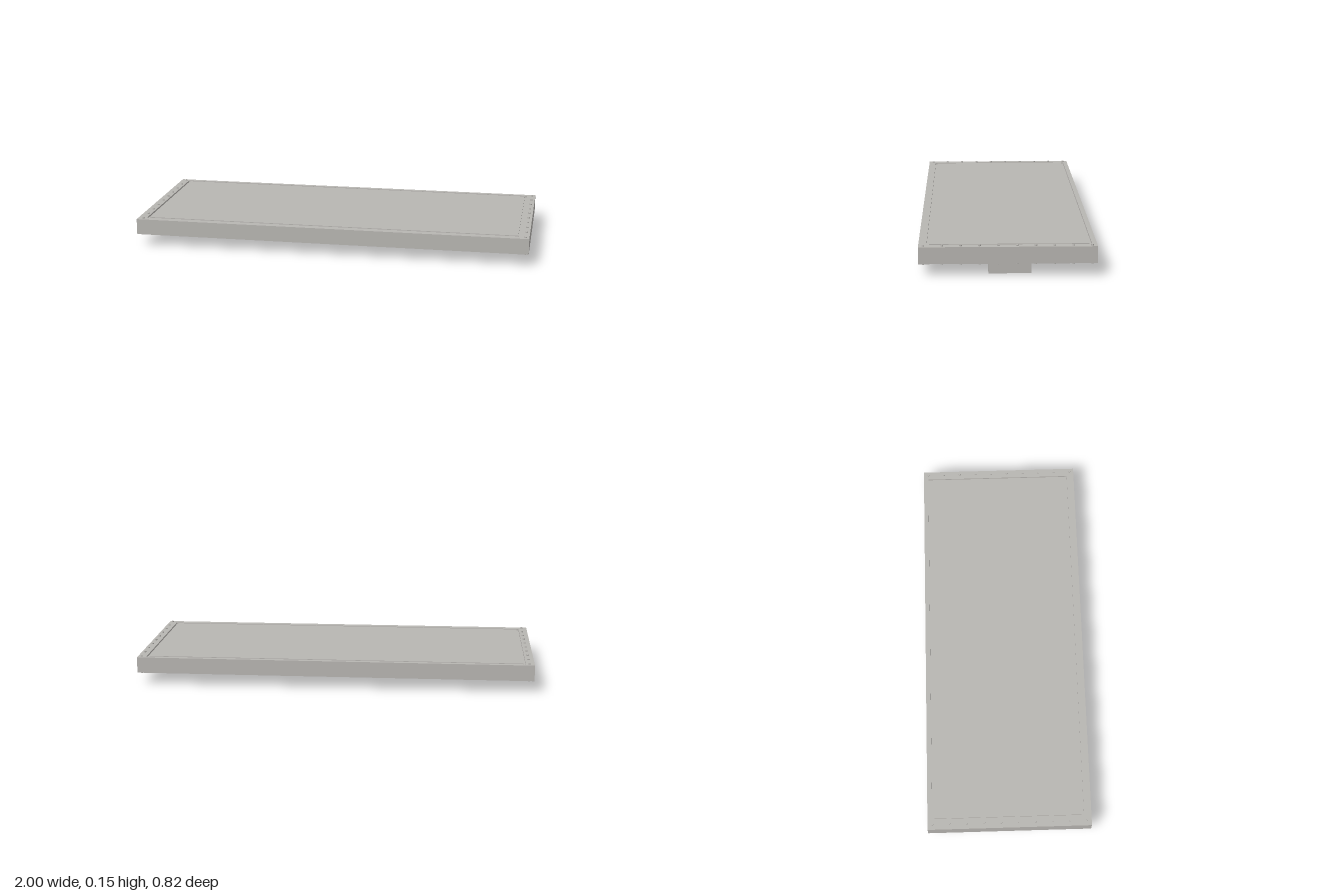
import * as THREE from 'three';

const W = 2, D = 0.825, BOTTOM = 0.06, TOP = 0.14, STEP = 0.008;
const OFFSET_Z = -0.007; // grooves sit slightly towards the back

const rect = (PathType, w, d, cz = 0) => {
  const p = new PathType();
  p.moveTo(-w / 2, cz - d / 2);
  p.lineTo(w / 2, cz - d / 2);
  p.lineTo(w / 2, cz + d / 2);
  p.lineTo(-w / 2, cz + d / 2);
  p.closePath();
  return p;
};

export function createModel() {
  const model = new THREE.Group();
  const grey = new THREE.MeshStandardMaterial({ color: 0xb8b6b2 });
  grey.name = 'warm grey';

  const add = (name, geometry, x, y, z, parent = model) => {
    const mesh = new THREE.Mesh(geometry, grey);
    mesh.name = name;
    mesh.position.set(x, y, z);
    parent.add(mesh);
  };

  // Slab core; its exposed strip forms the floor of the grooves
  add('slabCore', new THREE.BoxGeometry(W, TOP - BOTTOM - 2 * STEP, D), 0, (TOP + BOTTOM) / 2, 0);

  // Border frame and inset panel on both faces, with a narrow groove between
  const frameShape = rect(THREE.Shape, W, D);
  frameShape.holes.push(rect(THREE.Path, 1.912, 0.764, -OFFSET_Z));
  const frameGeometry = new THREE.ExtrudeGeometry(frameShape, { depth: STEP, bevelEnabled: false });
  frameGeometry.rotateX(-Math.PI / 2);
  const panelGeometry = new THREE.BoxGeometry(1.888, STEP, 0.74);

  for (const [side, y] of [['top', TOP - STEP], ['bottom', BOTTOM]]) {
    add(side + 'Frame', frameGeometry, 0, y, 0);
    add(side + 'Panel', panelGeometry, 0, y + STEP / 2, OFFSET_Z);
  }

  // Rows of small pins along both short ends, standing proud of each face
  const pins = new THREE.Group();
  pins.name = 'pins';
  model.add(pins);
  const pinGeometry = new THREE.CylinderGeometry(0.006, 0.006, 0.012, 8);
  for (const x of [-0.972, 0.982]) {
    for (let i = 0; i < 10; i++) {
      const z = -0.388 + i * 0.0865;
      add('topPin', pinGeometry, x, TOP, z, pins);
      add('bottomPin', pinGeometry, x, BOTTOM, z, pins);
    }
  }

  // Support blocks under the slab
  const blockGeometry = new THREE.BoxGeometry(0.1, BOTTOM, 0.2);
  for (const x of [-0.888, 0.405, 0.9]) {
    add('supportBlock', blockGeometry, x, BOTTOM / 2, -0.01);
  }

  // Rod running through the blocks
  const rodGeometry = new THREE.CylinderGeometry(0.02, 0.02, 1.76, 24);
  rodGeometry.rotateZ(Math.PI / 2);
  add('rod', rodGeometry, 0.006, 0.04, -0.01);

  return model;
}
